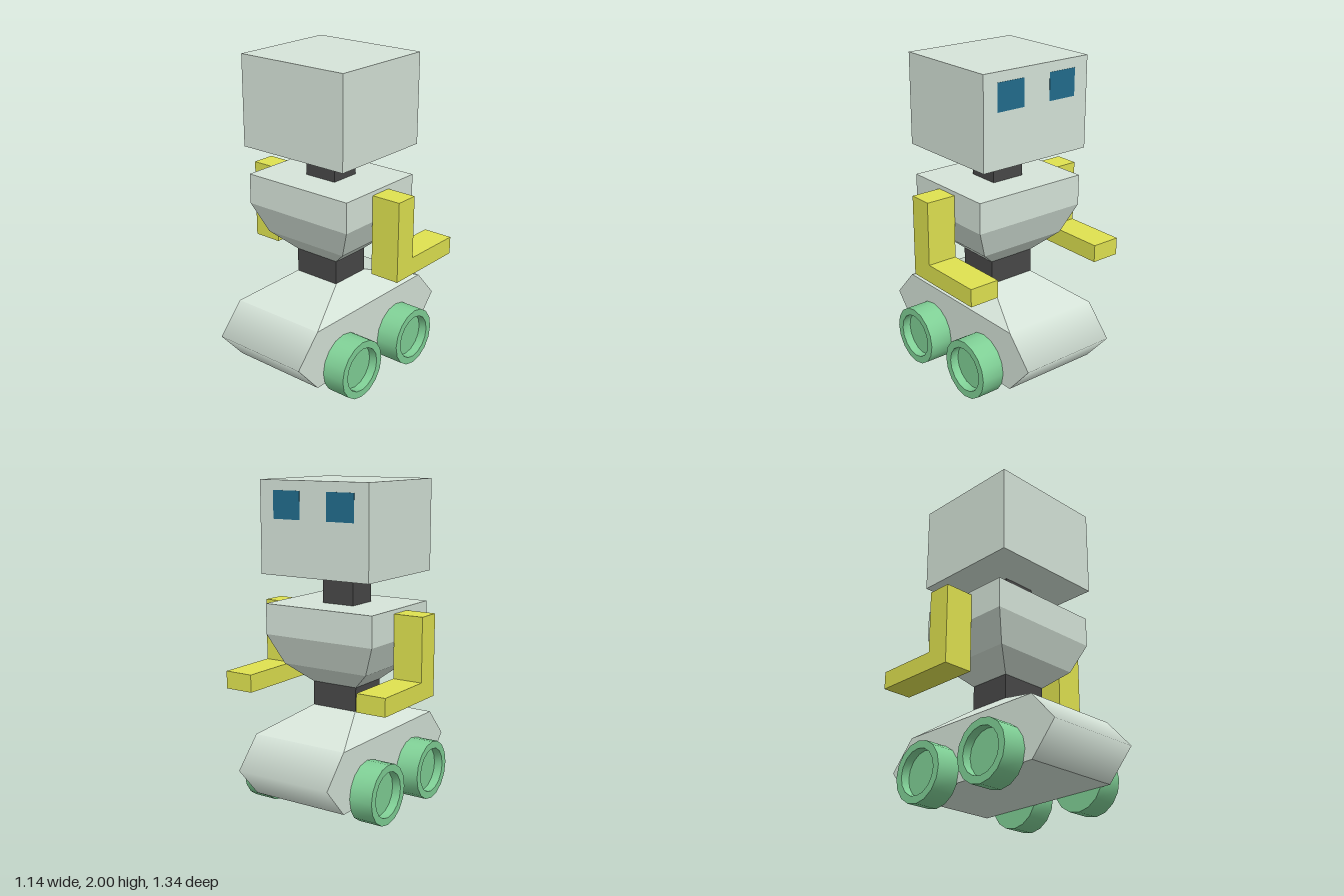
import * as THREE from 'three';
import { toCreasedNormals } from 'three/addons/utils/BufferGeometryUtils.js';

const paint = (color, flatShading = true) => new THREE.MeshStandardMaterial({ color, flatShading });
const shell = paint(0xd6e4d9);
const shellSmooth = paint(0xd6e4d9, false);
const dark = paint(0x484848);
const yellow = paint(0xdfe250);
const green = paint(0x80d096, false);
const blue = paint(0x226c8c);
const CZ = 0.005; // shared centre line of the body in z

function add(parent, name, geometry, material, x = 0, y = 0, z = 0) {
  const mesh = new THREE.Mesh(geometry, material);
  mesh.name = name;
  mesh.position.set(x, y, z);
  parent.add(mesh);
  return mesh;
}

// Box given by its y range, half width and half depth
function block(parent, name, y0, y1, hx, hz, material) {
  add(parent, name, new THREE.BoxGeometry(hx * 2, y1 - y0, hz * 2), material, 0, (y0 + y1) / 2, CZ);
}

// Closed solid through stacked rectangles [y, halfWidth, halfDepth], bottom to top
function loft(levels) {
  const pos = [], index = [];
  for (const [y, a, b] of levels) pos.push(-a, y, b, a, y, b, a, y, -b, -a, y, -b);
  const n = levels.length;
  for (let r = 0; r < n - 1; r++) {
    for (let i = 0; i < 4; i++) {
      const a = r * 4 + i, b = r * 4 + (i + 1) % 4;
      index.push(a, b, b + 4, a, b + 4, a + 4);
    }
  }
  const t = (n - 1) * 4;
  index.push(0, 2, 1, 0, 3, 2, t, t + 1, t + 2, t, t + 2, t + 3);
  const g = new THREE.BufferGeometry();
  g.setAttribute('position', new THREE.Float32BufferAttribute(pos, 3));
  g.setIndex(index);
  g.computeVertexNormals();
  return g;
}

// Side outline of [z, y] points, extruded along x and centred on x = 0
function extrudeX(points, width) {
  const shape = new THREE.Shape(points.map(([z, y]) => new THREE.Vector2(z, y)));
  const g = new THREE.ExtrudeGeometry(shape, { depth: width, bevelEnabled: false });
  return g.rotateY(-Math.PI / 2).translate(width / 2, 0, 0);
}

// Six-sided hull whose pointed ends are shaded as one rounded surface
function hullGeometry() {
  const mid = 0.305;
  const g = extrudeX([[-0.505, 0.115], [0.505, 0.115], [0.672, mid],
    [0.505, 0.49], [-0.505, 0.49], [-0.672, mid]], 0.635);
  const p = g.attributes.position, n = g.attributes.normal;
  for (let i = 0; i < p.count; i++) {
    if (Math.abs(p.getY(i) - mid) < 0.001 && Math.abs(n.getX(i)) < 0.5) n.setXYZ(i, 0, 0, Math.sign(p.getZ(i)));
  }
  return g;
}

// Wheel with a recessed outer face, axle along x, outer face towards +x
function wheelGeometry() {
  const r = 0.186, w = 0.077;
  const profile = [[0, -w], [r, -w], [r, w], [0.14, w], [0.14, w - 0.055], [0, w - 0.055]]
    .map(([x, y]) => new THREE.Vector2(x, y));
  return toCreasedNormals(new THREE.LatheGeometry(profile, 16), 0.7).rotateZ(-Math.PI / 2);
}

export function createModel() {
  const robot = new THREE.Group();
  robot.name = 'robot';

  // Wheeled base
  add(robot, 'chassis', hullGeometry(), shellSmooth);
  add(robot, 'chassisTop', loft([[0.49, 0.3175, 0.505], [0.615, 0.155, 0.138]]), shell);
  const wheel = wheelGeometry();
  for (const side of [1, -1]) {
    for (const end of [1, -1]) {
      const m = add(robot, (side > 0 ? 'left' : 'right') + (end > 0 ? 'FrontWheel' : 'RearWheel'),
        wheel, green, side * 0.39, 0.188, CZ + end * 0.2625);
      if (side < 0) m.rotation.y = Math.PI;
    }
  }

  // Waist, torso, neck and head
  block(robot, 'waist', 0.605, 0.775, 0.155, 0.137, dark);
  add(robot, 'torso', loft([[0.765, 0.156, 0.138], [0.88, 0.295, 0.247],
    [1.065, 0.38, 0.316], [1.255, 0.38, 0.316]]), shell, 0, 0, CZ);
  block(robot, 'neck', 1.25, 1.445, 0.11, 0.1, dark);
  block(robot, 'head', 1.44, 2, 0.38, 0.352, shell);

  // Bent arms and flush square eyes
  const arm = extrudeX([[0.082, 0.73], [0.082, 1.23], [-0.068, 1.23],
    [-0.068, 0.84], [-0.471, 0.84], [-0.471, 0.73]], 0.19);
  for (const side of [1, -1]) {
    const label = side > 0 ? 'left' : 'right';
    add(robot, label + 'Arm', arm, yellow, side * 0.475);
    add(robot, label + 'Eye', new THREE.BoxGeometry(0.19, 0.167, 0.01), blue,
      side * 0.188, 1.857, CZ - 0.349);
  }
  return robot;
}
